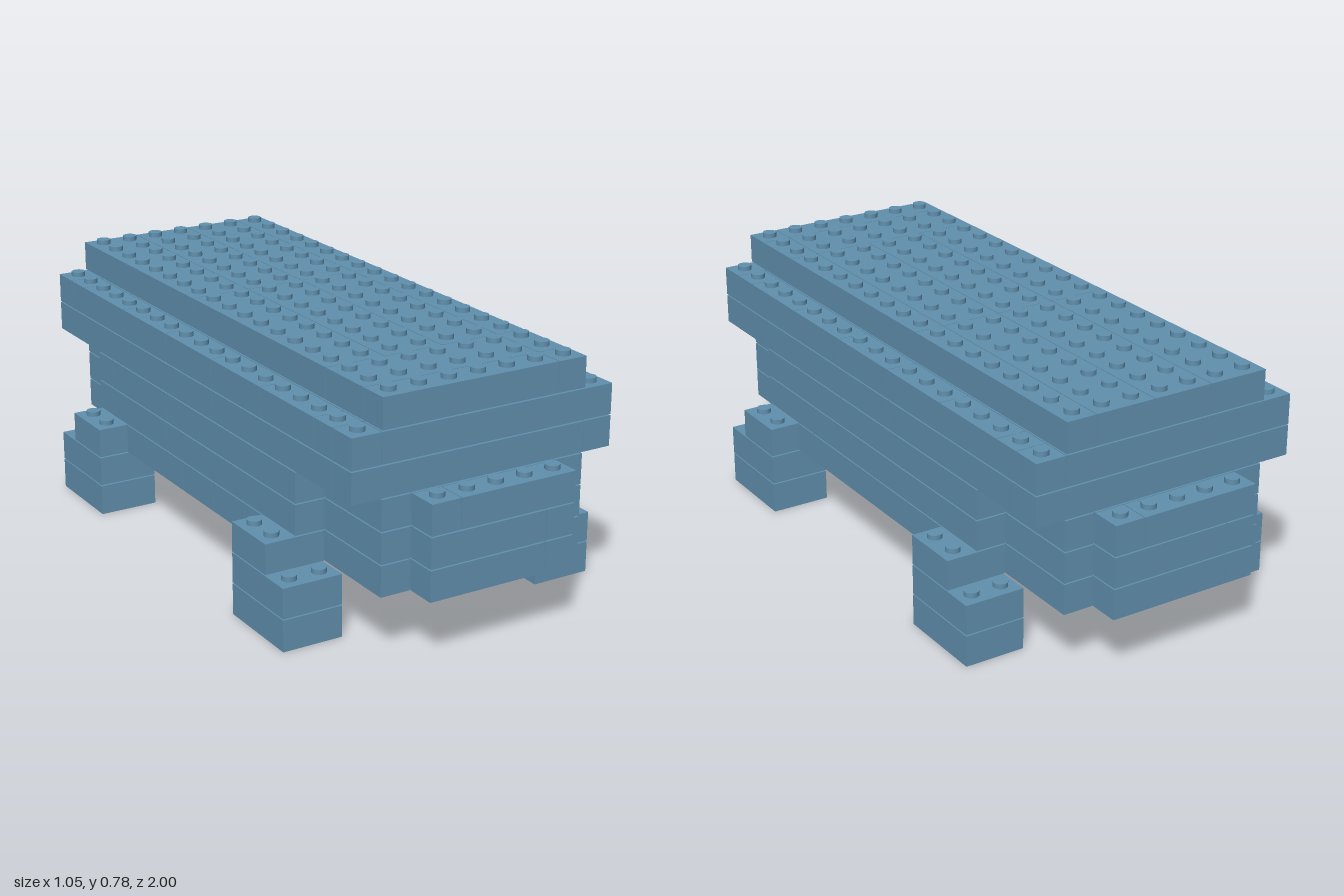
import * as THREE from 'three';
import { mergeGeometries } from 'three/addons/utils/BufferGeometryUtils.js';

const P = 2 / 21;      // one grid cell, also the brick height
const GAP = 0.004;     // seam between bricks

export function createModel() {
  const model = new THREE.Group();
  model.name = 'brickVehicle';
  const blue = new THREE.MeshStandardMaterial({ color: 0x6090ae });
  blue.name = 'greyBlue';

  // One brick; x and z limits in cells, layer counted from the ground
  const brick = (x0, x1, z0, z1, layer) => {
    const low = layer ? GAP : 0;
    const g = new THREE.BoxGeometry((x1 - x0) * P - GAP * 0.6, P - low, (z1 - z0) * P - GAP * 0.6);
    return g.translate((x0 + x1) / 2 * P, layer * P + (P + low) / 2, (z0 + z1) / 2 * P);
  };

  // Row of bricks along z, split at the given cuts
  const column = (x0, x1, cuts, layer) =>
    cuts.slice(1).map((z, i) => brick(x0, x1, cuts[i], z, layer));

  // Row of bricks along x, split at the given cuts
  const row = (z0, z1, cuts, layer) =>
    cuts.slice(1).map((x, i) => brick(cuts[i], x, z0, z1, layer));

  // Field of studs on top of a layer; limits are cell centres
  const studs = (x0, x1, z0, z1, layer) => {
    const list = [];
    for (let x = x0; x <= x1; x++) for (let z = z0; z <= z1; z++)
      list.push(new THREE.CylinderGeometry(0.022, 0.022, 0.016, 16)
        .translate(x * P, (layer + 1) * P + 0.007, z * P));
    return list;
  };

  const add = (name, parts) => {
    const mesh = new THREE.Mesh(mergeGeometries(parts), blue);
    mesh.name = name;
    model.add(mesh);
  };

  // Roof: cross bricks at the front, long strips behind
  const roofCuts = [-9.5, -1.5, 6.5];
  add('roof', [
    ...column(-3.5, -1.5, roofCuts, 7),
    ...column(-1.5, 0.5, roofCuts, 7),
    ...column(0.5, 2.5, roofCuts, 7),
    brick(-3.5, 2.5, 6.5, 8.5, 7),
    brick(-3.5, 2.5, 8.5, 9.5, 7),
    ...column(2.5, 3.5, [...roofCuts, 8.5, 9.5], 7),
  ]);
  add('roofStuds', studs(-3, 3, -9, 9, 7));

  // Wide upper body, two layers
  const sideCuts = [-8.5, -7.5, -4.5, -1.5, 1.5, 4.5, 7.5, 8.5];
  add('upperBody', [
    ...row(8.5, 9.5, [-4.5, -3.5, 4.5], 6),
    ...row(-9.5, -8.5, [-4.5, 3.5, 4.5], 6),
    ...column(-4.5, -3.5, sideCuts, 6),
    ...column(3.5, 4.5, sideCuts, 6),
    brick(-3.5, 3.5, -8.5, 8.5, 6),
    ...row(8.5, 9.5, [-4.5, 3.5, 4.5], 5),
    ...row(-9.5, -8.5, [-4.5, -3.5, 4.5], 5),
    ...column(-4.5, -3.5, [-8.5, -6.5, 1.5, 8.5], 5),
    ...column(3.5, 4.5, [-8.5, -1.5, 6.5, 8.5], 5),
    brick(-3.5, 3.5, -8.5, 8.5, 5),
  ]);
  add('ledgeStuds', [...studs(-4, -4, -9, 9, 6), ...studs(4, 4, -9, 9, 6)]);

  // Lower body: wide in the middle, narrow over the feet
  const lower = [];
  for (const layer of [3, 4]) {
    lower.push(brick(-3.5, 3.5, -6.5, 6.5, layer),
      ...column(3.5, 4.5, [-6.5, 1.5, 5.5, 6.5], layer),
      ...column(-4.5, -3.5, [-6.5, -5.5, -1.5, 6.5], layer));
  }
  for (const layer of [2, 3, 4]) {
    for (const s of [-1, 1]) {
      const z = [6.5 * s, 9.5 * s].sort((a, b) => a - b);
      lower.push(...row(z[0], z[1], [-3.5, -2.5, 2.5, 3.5], layer));
    }
  }
  add('lowerBody', lower);

  // Underside planks
  add('floor', [
    brick(-3.5, 3.5, -6.5, -4.5, 2),
    ...column(-4.5, 4.5, [-4.5, -2.5, -0.5, 1.5, 3.5, 4.5], 2),
    brick(-3.5, 3.5, 4.5, 6.5, 2),
  ]);

  // Bumpers at both ends
  for (const s of [-1, 1]) {
    const z0 = s > 0 ? 9.5 : -10.5;
    const split = (x) => [-2.5, x * s, 2.5];
    add(s > 0 ? 'frontBumper' : 'rearBumper', [
      ...row(z0, z0 + 1, split(1.5), 2),
      ...row(z0, z0 + 1, split(1.5), 3),
      ...row(z0, z0 + 1, split(-1.5), 4),
      ...studs(-2, 2, 10 * s, 10 * s, 4),
    ]);
  }

  // Four stepped feet
  for (const sx of [-1, 1]) for (const sz of [-1, 1]) {
    const x0 = sx > 0 ? 3.5 : -5.5;
    const z0 = sz > 0 ? 4.5 : -7.5;
    const top = sz > 0 ? 4.5 : -6.5;
    add((sz > 0 ? 'front' : 'rear') + (sx > 0 ? 'Left' : 'Right') + 'Foot', [
      brick(x0, x0 + 2, z0, z0 + 3, 0),
      brick(x0, x0 + 2, z0, z0 + 3, 1),
      brick(x0, x0 + 2, top, top + 2, 2),
      ...studs(x0 + 0.5, x0 + 1.5, 7 * sz, 7 * sz, 1),
      ...studs(5 * sx, 5 * sx, top + 0.5, top + 1.5, 2),
    ]);
  }

  return model;
}
